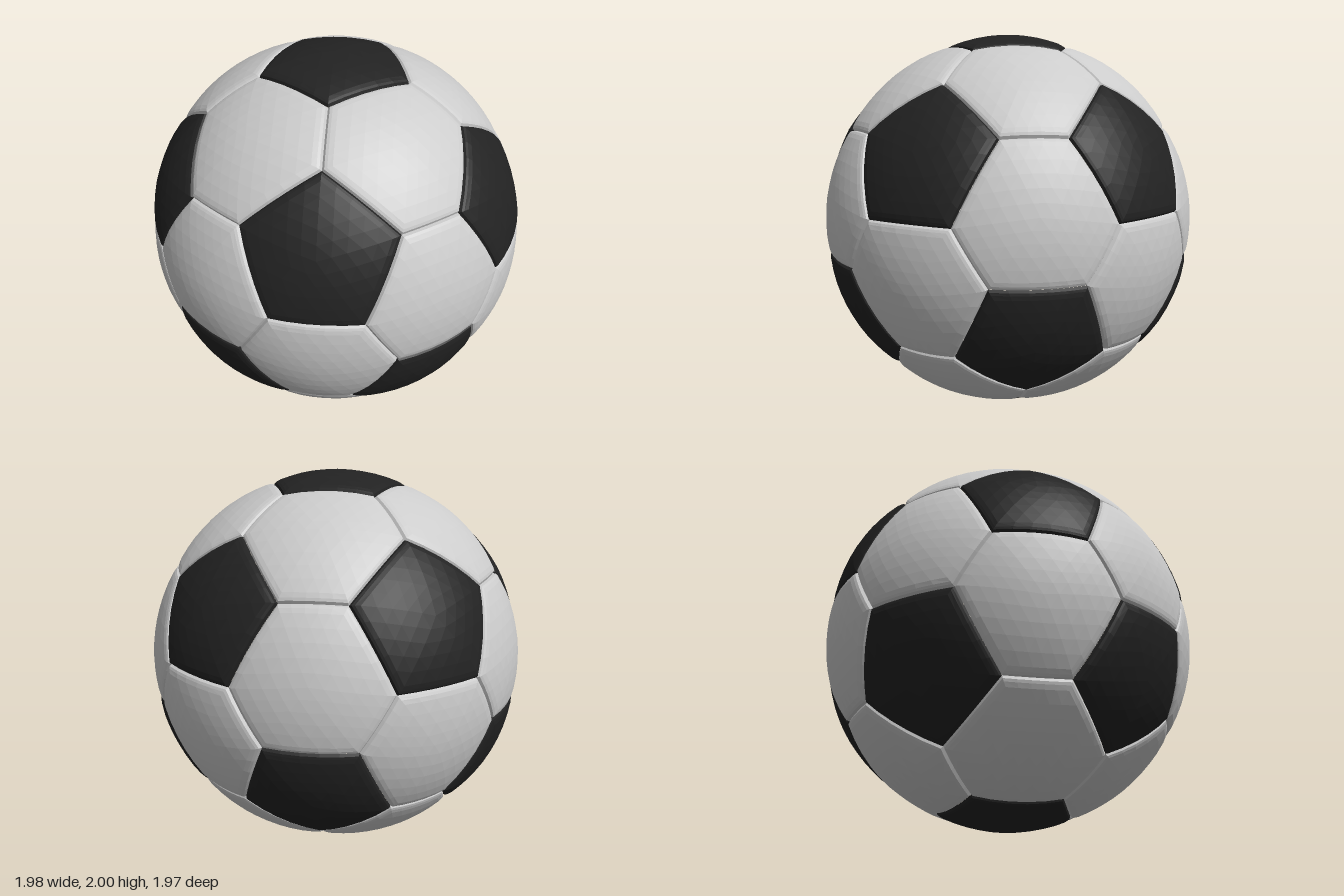
import * as THREE from 'three';

const CUT = 0.37; // where the pentagon corners lie along each icosahedron edge
const GRID = 5;   // segments along one panel side

// Sort points counter-clockwise around an outward axis
function sortAround(axis, points) {
  const u = points[0].clone().addScaledVector(axis, -points[0].dot(axis)).normalize();
  const v = axis.clone().cross(u);
  const angle = (p) => Math.atan2(p.dot(v), p.dot(u));
  return [...points].sort((a, b) => angle(a) - angle(b));
}

// Domed panel: a triangular grid in the middle, stepped down to the seam at the rim
function panelGeometry(center, corners, rim, top) {
  const rings = []; // [scale from centre, radius, segments per side]
  const inner = 0.87;
  for (let k = 0; k <= GRID; k++) {
    const s = (inner * k) / GRID;
    rings.push([s, top + (rim - top) * s * s, k]);
  }
  rings.push([0.935, rim - 0.001, GRID], [0.972, rim - 0.005, GRID], [1, rim - 0.018, GRID]);

  const positions = [];
  corners.forEach((a, i) => {
    const b = corners[(i + 1) % corners.length];
    const point = ([s, r, n], j) => {
      const edge = a.clone().lerp(b, n ? j / n : 0).normalize();
      return center.clone().lerp(edge, s).setLength(r);
    };
    const tri = (...pts) => pts.forEach((p) => positions.push(p.x, p.y, p.z));
    for (let k = 0; k < rings.length - 1; k++) {
      const lo = rings[k], hi = rings[k + 1];
      for (let j = 0; j < hi[2]; j++) tri(point(lo, j), point(hi, j), point(hi, j + 1));
      for (let j = 0; j < lo[2]; j++) tri(point(lo, j), point(hi, j + 1), point(lo, j + 1));
    }
  });
  const g = new THREE.BufferGeometry();
  g.setAttribute('position', new THREE.Float32BufferAttribute(positions, 3));
  g.computeVertexNormals();
  return g;
}

export function createModel() {
  const ball = new THREE.Group();
  ball.name = 'ball';
  const grey = new THREE.MeshStandardMaterial({ color: 0xcccccc, flatShading: true });
  const black = new THREE.MeshStandardMaterial({ color: 0x222222, flatShading: true });

  // Icosahedron vertices: two poles and two staggered rings of five
  const verts = [new THREE.Vector3(0, 1, 0), new THREE.Vector3(0, -1, 0)];
  const h = 1 / Math.sqrt(5);
  for (let i = 0; i < 5; i++) {
    const a = (i * 2 * Math.PI) / 5, b = a + Math.PI / 5;
    verts.push(new THREE.Vector3(2 * h * Math.cos(a), h, 2 * h * Math.sin(a)));
    verts.push(new THREE.Vector3(2 * h * Math.cos(b), -h, 2 * h * Math.sin(b)));
  }
  const adjacent = (a, b) => a !== b && a.dot(b) > 0.4;
  const corner = (a, b) => a.clone().lerp(b, CUT).normalize();

  function addPanel(group, name, center, corners, rim, top, material) {
    const mesh = new THREE.Mesh(panelGeometry(center, sortAround(center, corners), rim, top), material);
    mesh.name = name;
    group.add(mesh);
  }

  // Black pentagons, one on each icosahedron vertex
  const pentagons = new THREE.Group();
  pentagons.name = 'pentagonPanels';
  verts.forEach((v) => {
    const corners = verts.filter((w) => adjacent(v, w)).map((w) => corner(v, w));
    addPanel(pentagons, 'pentagonPanel', v, corners, 0.987, 1, black);
  });

  // Grey hexagons, one on each icosahedron face
  const hexagons = new THREE.Group();
  hexagons.name = 'hexagonPanels';
  verts.forEach((a, i) => verts.forEach((b, j) => verts.forEach((c, k) => {
    if (!(i < j && j < k && adjacent(a, b) && adjacent(b, c) && adjacent(a, c))) return;
    const center = a.clone().add(b).add(c).normalize();
    const corners = [[a, b], [b, a], [b, c], [c, b], [c, a], [a, c]].map(([p, q]) => corner(p, q));
    addPanel(hexagons, 'hexagonPanel', center, corners, 0.986, 0.994, grey);
  })));

  ball.add(pentagons, hexagons);
  ball.position.y = 1;
  const model = new THREE.Group();
  model.add(ball);
  return model;
}
